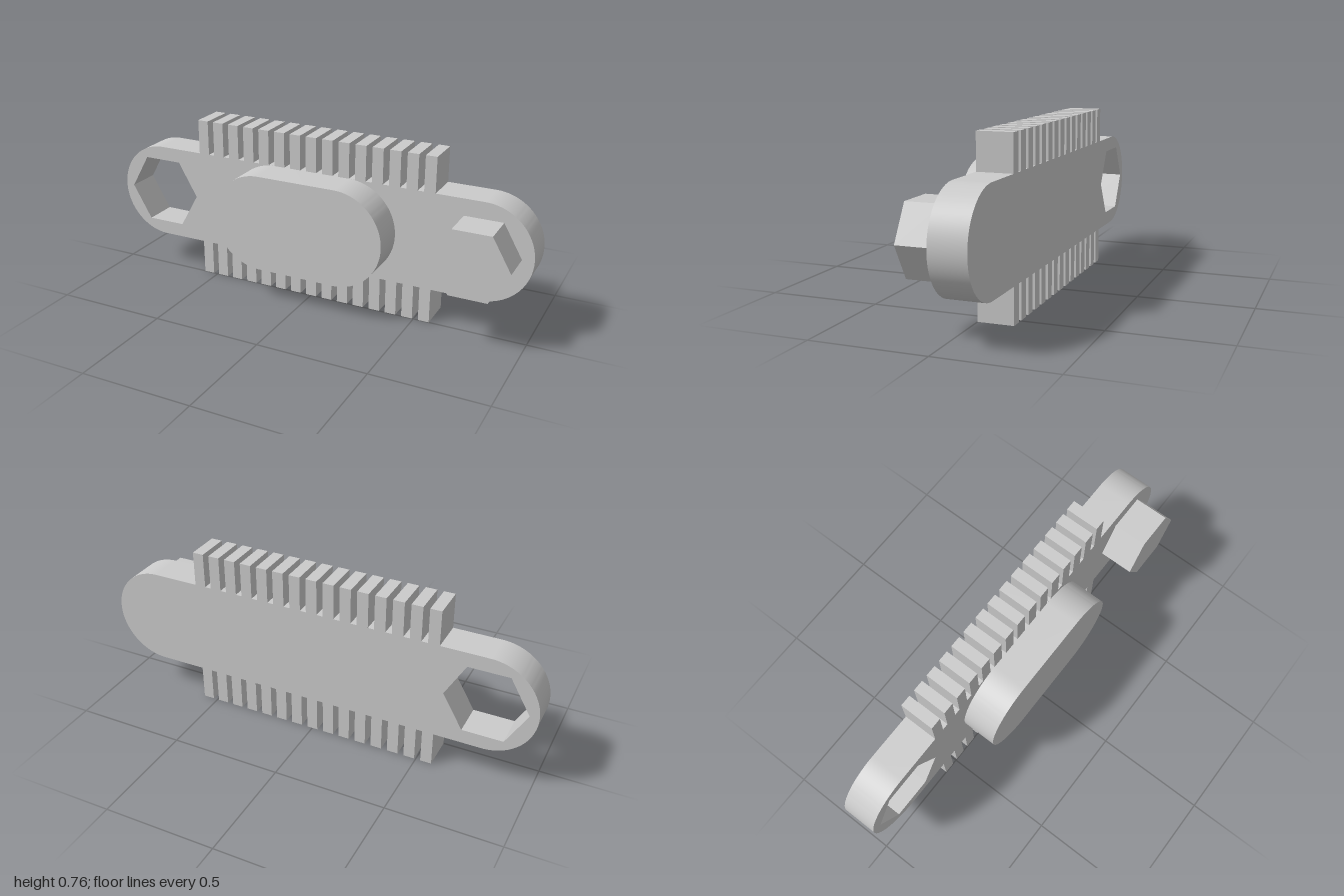
import * as THREE from 'three';
import { toCreasedNormals } from 'three/addons/utils/BufferGeometryUtils.js';

const DEPTH = 0.155, CY = 0.378, R = 0.22;          // layer thickness, mid height, end radius
const END = 0.78;                                   // centre of the rounded ends
const TEETH = 15, PITCH = 0.078, TOOTH = 0.05, TOOTH_H = 0.378;

// Adds a hexagon with corners on the x axis to a path or shape
function hexagon(path, cx, r) {
  for (let i = 0; i < 6; i++) {
    const a = (i * Math.PI) / 3;
    path[i ? 'lineTo' : 'moveTo'](cx + r * Math.cos(a), r * Math.sin(a));
  }
  path.closePath();
  return path;
}

// Rounded bar; with teeth, the long edges carry a comb on both sides
function barShape(halfStraight, toothed) {
  const s = new THREE.Shape();
  s.moveTo(-halfStraight, -R);
  const comb = (dir) => {
    if (!toothed) return;
    for (let i = 0; i < TEETH; i++) {
      const x = dir * (i - (TEETH - 1) / 2) * PITCH, h = (dir * TOOTH) / 2;
      s.lineTo(x - h, -dir * R);
      s.lineTo(x - h, -dir * TOOTH_H);
      s.lineTo(x + h, -dir * TOOTH_H);
      s.lineTo(x + h, -dir * R);
    }
  };
  comb(1);
  s.lineTo(halfStraight, -R);
  s.absarc(halfStraight, 0, R, -Math.PI / 2, Math.PI / 2, false);
  comb(-1);
  s.lineTo(-halfStraight, R);
  s.absarc(-halfStraight, 0, R, Math.PI / 2, Math.PI * 1.5, false);
  return s;
}

export function createModel() {
  const group = new THREE.Group();
  const material = new THREE.MeshStandardMaterial({ color: 0xcccccc });

  const add = (name, shape, z) => {
    const geo = new THREE.ExtrudeGeometry(shape, { depth: DEPTH, bevelEnabled: false, curveSegments: 32 });
    const mesh = new THREE.Mesh(toCreasedNormals(geo, Math.PI / 6), material);
    mesh.name = name;
    mesh.position.set(0, CY, z);
    group.add(mesh);
  };

  // Toothed link plate with a hexagonal socket at its right end
  const plate = barShape(END, true);
  plate.holes.push(hexagon(new THREE.Path(), -END, 0.18));
  add('toothedPlate', plate, -DEPTH);

  // Raised rounded pad in the middle of the front
  add('centrePad', barShape(0.18, false), 0);

  // Hexagonal peg on the left end, slightly smaller than the socket
  add('hexPeg', hexagon(new THREE.Shape(), END, 0.168), 0);

  return group;
}
